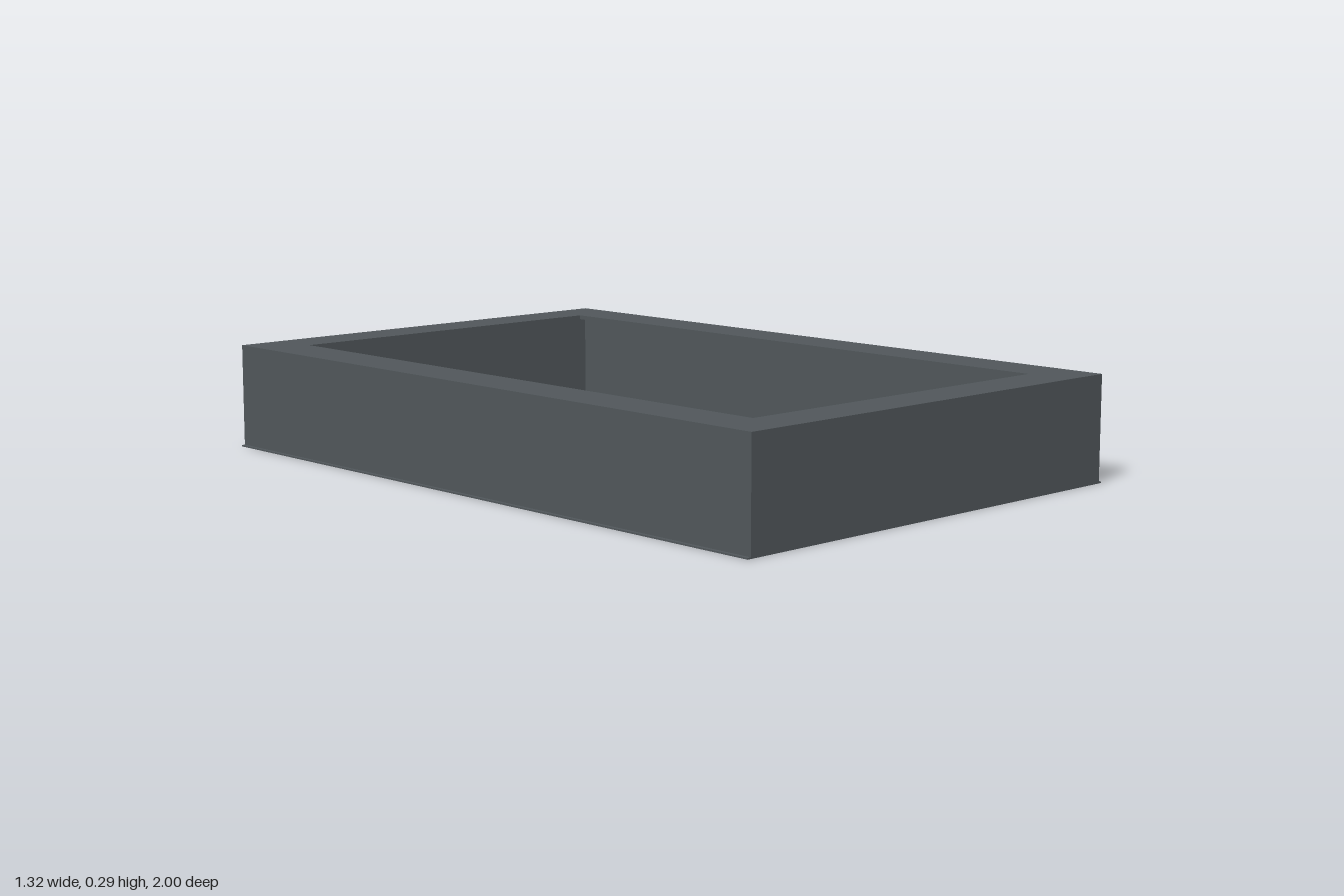
import * as THREE from 'three';

const HALF_W = 0.648, HALF_L = 1, HEIGHT = 0.288, SHEET = 0.012;

function rectangle(Type, hw, hl) {
  const r = new Type();
  r.moveTo(-hw, -hl).lineTo(hw, -hl).lineTo(hw, hl).lineTo(-hw, hl).closePath();
  return r;
}

export function createModel() {
  const group = new THREE.Group();
  const material = new THREE.MeshStandardMaterial({ color: 0x50565a });

  const add = (name, geometry, x = 0, y = 0, z = 0) => {
    const mesh = new THREE.Mesh(geometry, material);
    mesh.name = name;
    mesh.position.set(x, y, z);
    group.add(mesh);
  };
  const box = (name, w, h, d, x, y, z) => add(name, new THREE.BoxGeometry(w, h, d), x, y, z);

  // Rectangular ring lying flat, extruded upwards from y = 0
  const ring = (hw, hl, innerW, innerL, height) => {
    const shape = rectangle(THREE.Shape, hw, hl);
    shape.holes.push(rectangle(THREE.Path, innerW, innerL));
    return new THREE.ExtrudeGeometry(shape, { depth: height, bevelEnabled: false }).rotateX(-Math.PI / 2);
  };

  // Thin outer walls
  add('walls', ring(HALF_W, HALF_L, HALF_W - SHEET, HALF_L - SHEET, HEIGHT - SHEET));

  // Top rim overhanging the hollow
  add('topRim', ring(HALF_W, HALF_L, 0.51, 0.87, SHEET), 0, HEIGHT - SHEET, 0);

  // Floor panel, set just above the bottom edge
  box('floor', 2 * (HALF_W - SHEET), 0.008, 2 * (HALF_L - SHEET), 0, 0.01, 0);

  // Narrow lip around the foot of the walls
  add('footLip', ring(0.658, HALF_L, HALF_W - SHEET, HALF_L - SHEET, 0.004));

  // Folded bracket posts inside the two front corners
  const postHeight = HEIGHT - SHEET;
  for (const side of [-1, 1]) {
    const post = (name, w, d, x, z) => box(name, w, postHeight, d, side * x, postHeight / 2, z);
    post('bracketInnerFlange', 0.008, 0.045, 0.53, 0.965);
    post('bracketOuterFlange', 0.008, 0.06, 0.6, 0.957);
    post('bracketWeb', 0.035, 0.008, 0.618, 0.925);
  }

  return group;
}
